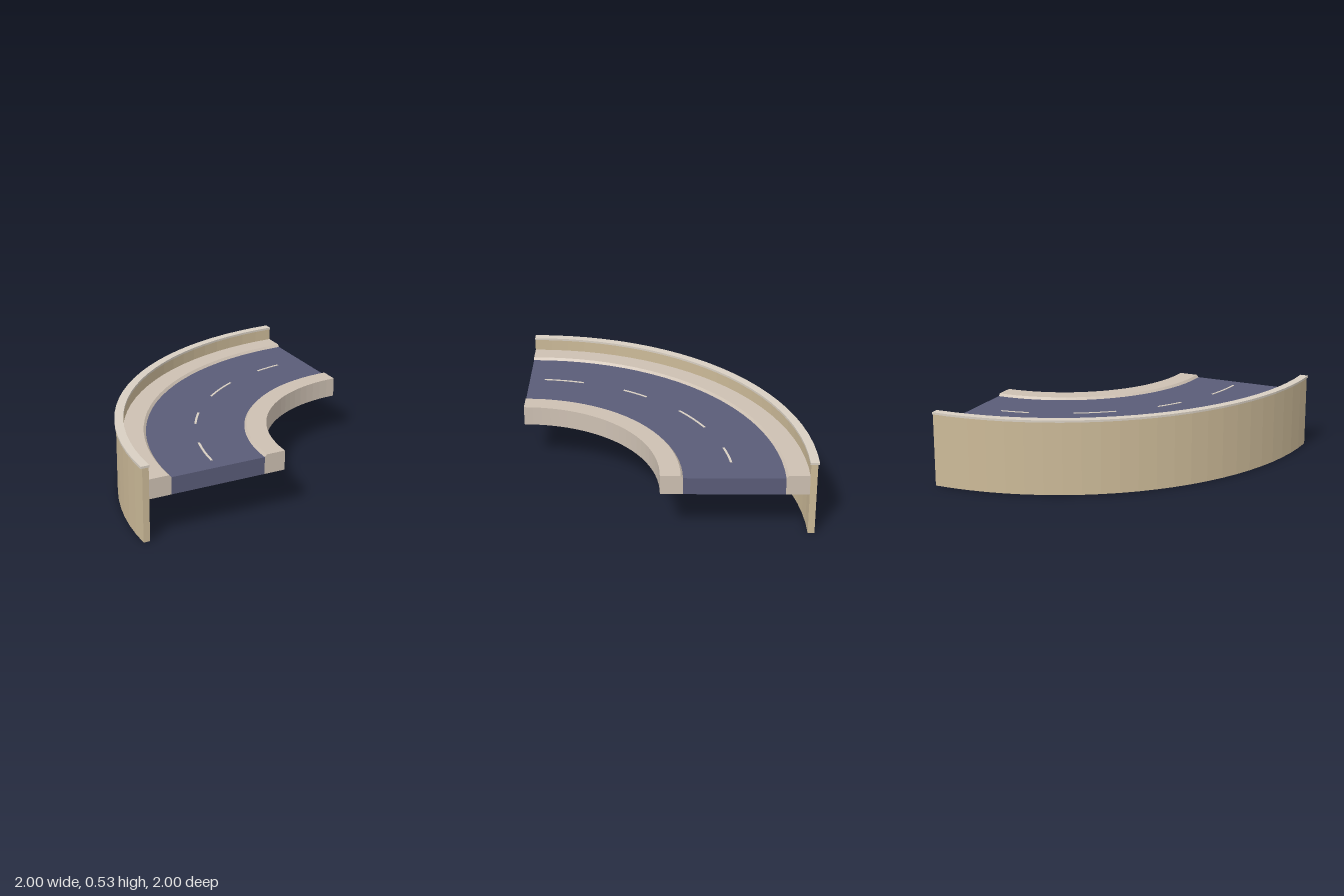
import * as THREE from 'three';

const RAD = Math.PI / 180;
const STEPS = 24;

// Sweeps a convex profile of [radius, height] points (counter-clockwise)
// around the corner at x = 1, z = 1, with closed ends.
function sweep(profile, from = 0, to = 90, steps = STEPS) {
  const pos = [];
  const at = (j, i) => {
    const [r, y] = profile[j % profile.length];
    const a = (from + (to - from) * i / steps) * RAD;
    return [1 - r * Math.cos(a), y, 1 - r * Math.sin(a)];
  };
  const tri = (a, b, c) => pos.push(...a, ...b, ...c);
  for (let i = 0; i < steps; i++) {
    for (let j = 0; j < profile.length; j++) {
      tri(at(j, i), at(j + 1, i), at(j + 1, i + 1));
      tri(at(j, i), at(j + 1, i + 1), at(j, i + 1));
    }
  }
  for (let k = 1; k < profile.length - 1; k++) {
    tri(at(0, 0), at(k + 1, 0), at(k, 0));
    tri(at(0, steps), at(k, steps), at(k + 1, steps));
  }
  const g = new THREE.BufferGeometry();
  g.setAttribute('position', new THREE.Float32BufferAttribute(pos, 3));
  g.computeVertexNormals();
  return g;
}

const box = (r0, r1, y0, y1) => [[r0, y0], [r1, y0], [r1, y1], [r0, y1]];

export function createModel() {
  const model = new THREE.Group();
  model.name = 'curvedRoad';
  const mat = (color) => new THREE.MeshStandardMaterial({ color, flatShading: true });
  const stone = mat(0xcdc0b2);
  const wall = mat(0xccba98);
  const asphalt = mat(0x5a5c78);
  const paint = mat(0xd8cfc2);

  const add = (name, geometry, material) => {
    const m = new THREE.Mesh(geometry, material);
    m.name = name;
    model.add(m);
  };

  // Road slab between the kerbs
  add('roadSurface', sweep(box(1.12, 1.79, 0.295, 0.415)), asphalt);

  // Raised kerbs, bevelled towards the road
  add('innerKerb', sweep([[0.97, 0.295], [1.12, 0.295], [1.12, 0.415], [1.105, 0.432], [0.97, 0.432]]), stone);
  add('outerKerb', sweep([[1.79, 0.295], [1.945, 0.295], [1.945, 0.432], [1.805, 0.432], [1.79, 0.415]]), stone);

  // Tall retaining wall and its overhanging coping
  add('outerWall', sweep(box(1.945, 1.99, 0, 0.515)), wall);
  add('wallCoping', sweep(box(1.94, 2, 0.515, 0.53)), paint);

  // Dashed centre line
  for (const [from, to] of [[4.3, 16], [28.7, 36.6], [49.2, 61.2], [73.7, 81.7]]) {
    add('laneDash', sweep(box(1.447, 1.462, 0.41, 0.418), from, to, 4), paint);
  }
  return model;
}
